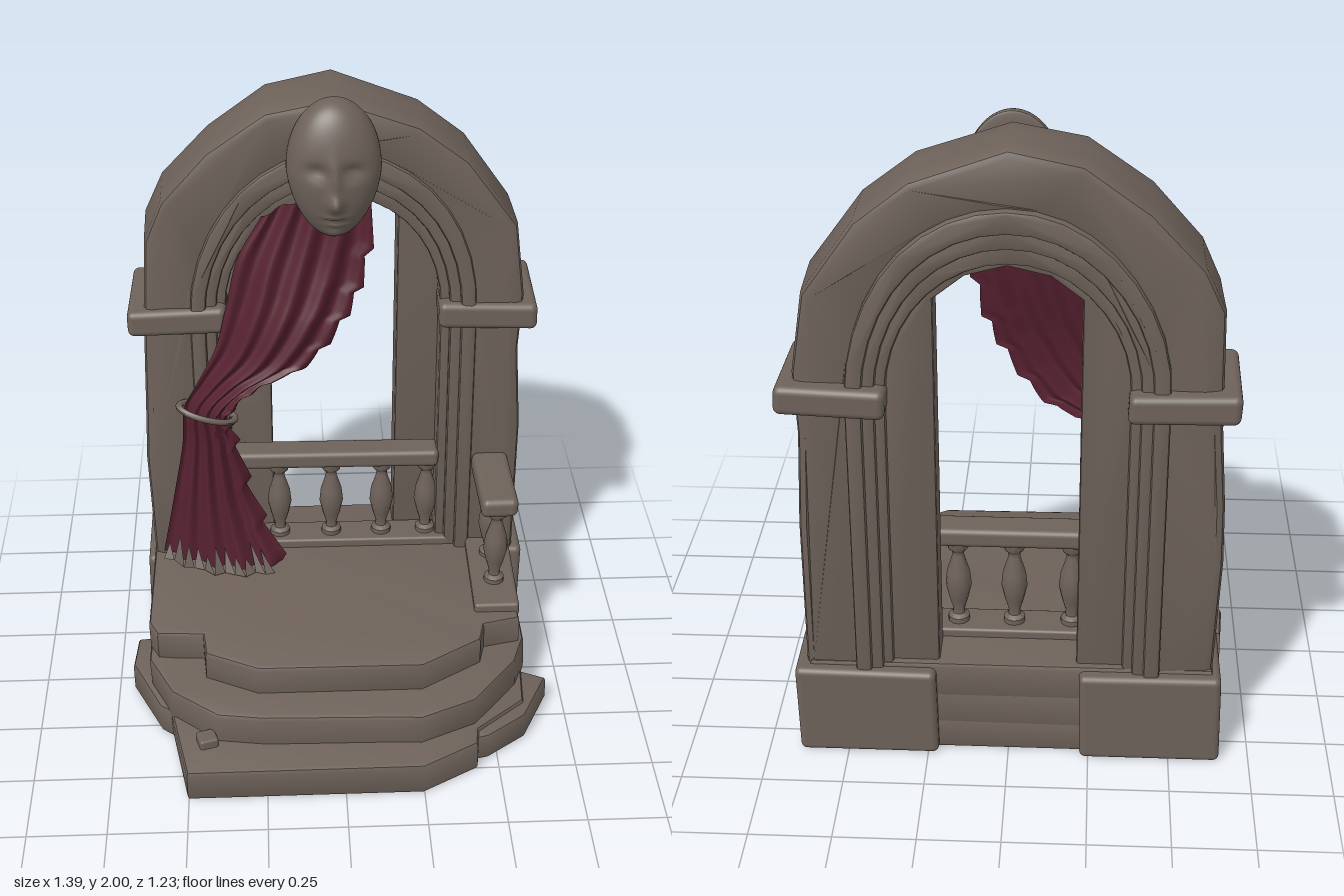
import * as THREE from 'three';
import { toCreasedNormals } from 'three/addons/utils/BufferGeometryUtils.js';
import { RoundedBoxGeometry } from 'three/addons/geometries/RoundedBoxGeometry.js';

const stone = new THREE.MeshStandardMaterial({ color: 0x6e625a });
stone.name = 'weathered stone';
const cloth = new THREE.MeshStandardMaterial({ color: 0x55202f, side: THREE.DoubleSide });
cloth.name = 'wine cloth';
const frayed = new THREE.MeshStandardMaterial({ color: 0x6e645c, side: THREE.DoubleSide });
frayed.name = 'frayed cloth';

// Applies a rule to every vertex
function warp(geo, rule) {
  const p = geo.attributes.position, v = new THREE.Vector3();
  for (let i = 0; i < p.count; i++) {
    rule(v.fromBufferAttribute(p, i));
    p.setXYZ(i, v.x, v.y, v.z);
  }
  return geo;
}

// Gentle worn unevenness of carved stone
const wear = (amount) => (v) => {
  const { x, y, z } = v;
  v.x += amount * Math.sin(9 * y + 5 * z + 1);
  v.z += amount * Math.sin(11 * x + 6 * y);
  if (y > 0.02) v.y += amount * 0.6 * Math.sin(8 * x + 7 * z);
};

export function createModel() {
  const model = new THREE.Group();
  model.name = 'ruinedArch';

  const add = (name, geo, mat = stone, parent = model) => {
    const mesh = new THREE.Mesh(geo, mat);
    mesh.name = name;
    parent.add(mesh);
    return mesh;
  };

  const extrude = (points, depth, bevel, steps = 1) => {
    const shape = new THREE.Shape(points.map(([x, y]) => new THREE.Vector2(x, y)));
    return new THREE.ExtrudeGeometry(shape, {
      depth: depth - 2 * bevel, steps, bevelEnabled: true, bevelSegments: 2,
      bevelSize: bevel, bevelThickness: bevel, bevelOffset: -bevel,
    }).translate(0, 0, bevel);
  };

  const block = (name, x0, x1, y0, y1, z0, z1, r = 0.015, amount = 0.004) => {
    const geo = new RoundedBoxGeometry(x1 - x0, y1 - y0, z1 - z0, 3, r);
    geo.translate((x0 + x1) / 2, (y0 + y1) / 2, (z0 + z1) / 2);
    return add(name, warp(geo, wear(amount)));
  };

  // Platform tiers, outlined as [x, z]
  const tier = (name, outline, y0, y1, amount = 0.005) => {
    const geo = extrude(outline.map(([x, z]) => [x, -z]), y1 - y0, 0.016);
    geo.rotateX(-Math.PI / 2).translate(0, y0, 0);
    add(name, toCreasedNormals(warp(geo, wear(amount)), 0.7));
  };
  tier('lowerStep', [[-0.62, -0.57], [-0.62, -0.08], [-0.69, -0.07], [-0.7, 0.07], [-0.6, 0.28],
    [-0.56, 0.31], [-0.5, 0.61], [0.25, 0.61], [0.43, 0.51], [0.44, 0.44], [0.6, 0.3],
    [0.62, 0], [0.62, -0.57]], 0, 0.115, 0.003);
  tier('fallenSlab', [[0.3, 0.3], [0.43, 0.47], [0.47, 0.46], [0.6, 0.36], [0.69, 0.17], [0.61, 0.13]], 0, 0.1, 0.003);
  tier('middleStep', [[-0.63, -0.57], [-0.63, 0.17], [-0.55, 0.33], [-0.4, 0.46], [-0.25, 0.49], [0.17, 0.49],
    [0.25, 0.5], [0.43, 0.42], [0.58, 0.22], [0.62, 0.1], [0.62, -0.57]], 0.08, 0.22);
  tier('floor', [[-0.63, -0.57], [-0.63, 0.1], [-0.6, 0.16], [-0.45, 0.17], [-0.44, 0.27], [-0.27, 0.36],
    [0.26, 0.36], [0.46, 0.23], [0.48, 0.15], [0.6, 0.12], [0.61, -0.57]], 0.19, 0.32, 0.003);
  const chip = block('looseStone', -0.03, 0.03, -0.02, 0.02, -0.03, 0.03, 0.008, 0);
  chip.position.set(-0.44, 0.125, 0.47);
  chip.rotation.y = 0.3;

  // Arch outlines: half ellipse springing from the capitals
  const springY = 1.25, footY = 0.29;
  const curve = (half, top, n) => Array.from({ length: n + 1 }, (_, i) => {
    const a = Math.PI * (1 - i / n);
    return [half * Math.cos(a), springY + (top - springY) * Math.sin(a)];
  });
  const archBand = (name, outer, inner, z0, z1, bevel, amount) => {
    const geo = extrude([...outer, ...inner.slice().reverse()], z1 - z0, bevel, 3).translate(0, 0, z0);
    add(name, toCreasedNormals(warp(geo, wear(amount)), 0.65));
  };
  const legs = (half, pts) => [[-half, footY], ...pts, [half, footY]];
  archBand('mainArch',
    [[-0.63, footY], [-0.635, 0.7], [-0.635, 0.9], [-0.62, 1.15], [-0.605, 1.52], [-0.55, 1.65], [-0.4, 1.81],
      [-0.21, 1.94], [0, 1.985], [0.27, 1.89], [0.42, 1.77], [0.58, 1.55], [0.62, 1.3], [0.605, 1.1],
      [0.625, 0.8], [0.62, footY]],
    legs(0.445, curve(0.445, 1.8, 16)), -0.565, -0.295, 0.025, 0.005);
  [[0.465, 1.82, 0.415, 1.75, -0.59, -0.28], [0.43, 1.77, 0.38, 1.7, -0.575, -0.3],
    [0.395, 1.73, 0.35, 1.65, -0.56, -0.325]].forEach(([o, ot, i, it, z0, z1], k) =>
    archBand('archMoulding' + (k + 1), legs(o, curve(o, ot, 18)), legs(i, curve(i, it, 18)), z0, z1, 0.012, 0.003));
  archBand('innerJamb', legs(0.37, curve(0.37, 1.69, 16)),
    [[-0.21, footY], [-0.21, 1.54], [-0.12, 1.61], [0, 1.64], [0.12, 1.61], [0.21, 1.54], [0.21, footY]],
    -0.545, -0.42, 0.01, 0.002);

  // Plinths and capitals on both piers
  for (const s of [-1, 1]) {
    const side = s < 0 ? 'right' : 'left';
    const pair = (a, b) => (s < 0 ? [-b, -a] : [a, b]);
    block(side + 'Plinth', ...pair(0.22, 0.655), 0, 0.305, -0.605, -0.285, 0.02, 0.003);
    block(side + 'Capital', ...pair(0.345, 0.665), 1.19, 1.28, -0.615, -0.27, 0.022, 0.006);
  }

  // Balustrade
  const profile = [[0, 0.34], [0.034, 0.34], [0.034, 0.365], [0.019, 0.375], [0.018, 0.39], [0.03, 0.43],
    [0.041, 0.48], [0.036, 0.53], [0.019, 0.585], [0.018, 0.6], [0.032, 0.615], [0.034, 0.645], [0, 0.645]];
  const balusterGeo = toCreasedNormals(
    new THREE.LatheGeometry(profile.map(([x, y]) => new THREE.Vector2(x, y)), 12), 0.8);
  [[-0.36, -0.36], [-0.19, -0.36], [-0.01, -0.36], [0.165, -0.36], [0.32, -0.36], [0.53, -0.05], [0.53, -0.2]]
    .forEach(([x, z]) => add('baluster', balusterGeo).position.set(x, 0, z));
  block('backRail', -0.4, 0.36, 0.638, 0.7, -0.41, -0.31, 0.018);
  block('backRailFoot', -0.4, 0.4, 0.3, 0.347, -0.42, -0.3, 0.01);
  block('sideRail', 0.468, 0.59, 0.638, 0.705, -0.3, 0.01, 0.022);
  block('sideRailFoot', 0.455, 0.605, 0.3, 0.35, -0.3, 0.09, 0.012);

  // Keystone mask, a half ellipsoid with modelled features
  const bump = (x, y, cx, cy, sx, sy) => Math.exp(-(((x - cx) / sx) ** 2) - ((y - cy) / sy) ** 2);
  const mask = warp(new THREE.SphereGeometry(1, 72, 56), (v) => {
    const jaw = Math.max(0, -v.y);
    const x = v.x * 0.148 * (1 - 0.14 * jaw), y = v.y * 0.225;
    let z = v.z > 0 ? 0.125 * Math.pow(v.z, 0.75) : 0.012 * v.z;
    if (v.z > 0.05) {
      const ax = Math.abs(x);
      z += 0.016 * bump(x, y, 0, 0, 0.016, 0.06) + 0.036 * bump(x, y, 0, -0.078, 0.021, 0.03);
      z -= 0.022 * bump(ax, y, 0.055, 0.022, 0.032, 0.022);
      z += 0.009 * bump(ax, y, 0.055, 0.016, 0.022, 0.01);
      z += 0.012 * bump(x, y, 0, -0.13, 0.034, 0.009) + 0.011 * bump(x, y, 0, -0.152, 0.028, 0.009);
      z -= 0.01 * bump(x, y, 0, -0.141, 0.04, 0.004);
      z += 0.014 * bump(x, y, 0, -0.192, 0.03, 0.02);
    }
    v.set(x - 0.003, y + 1.775, z - 0.282);
  });
  mask.computeVertexNormals();
  add('keystoneMask', mask);

  // Curtain swept between a left and a right edge
  const edge = (pts) => new THREE.CatmullRomCurve3(pts.map((p) => new THREE.Vector3(...p)));
  const leftEdge = edge([[-0.23, 1.6, -0.3], [-0.31, 1.46, -0.29], [-0.35, 1.3, -0.28], [-0.39, 1.15, -0.27],
    [-0.455, 1.02, -0.27], [-0.5, 0.93, -0.27], [-0.51, 0.8, -0.27], [-0.55, 0.58, -0.26], [-0.595, 0.35, -0.26]]);
  const rightEdge = edge([[0.13, 1.65, -0.3], [0.09, 1.4, -0.28], [0.02, 1.24, -0.26], [-0.1, 1.08, -0.26],
    [-0.25, 1.0, -0.26], [-0.35, 0.89, -0.26], [-0.33, 0.8, -0.26], [-0.27, 0.56, -0.25], [-0.17, 0.33, -0.2]]);
  const drape = (u, v) => {
    const p = leftEdge.getPoint(v).lerp(rightEdge.getPoint(v), u);
    const arc = Math.sin(Math.PI * u);
    p.z += arc * (0.02 + 0.035 * Math.sin(Math.PI * Math.min(1, v * 1.6)) ** 2 + 0.04 * v * v);
    p.z += 0.014 * Math.sin(u * 27 + v * 3);
    p.y += 0.05 * arc * Math.max(0, 1 - v * 5);
    p.x += Math.pow(u, 8) * 0.03 * ((v * 13) % 1 - 0.5);
    return p;
  };
  const sheet = warp(new THREE.PlaneGeometry(1, 1, 56, 78), (v) => v.copy(drape(v.x + 0.5, 0.5 - v.y)));
  sheet.computeVertexNormals();
  add('curtain', sheet, cloth);

  // Torn hem and tie
  const tatters = [];
  for (let i = 0; i < 11; i++) {
    const u = i / 12, length = 0.03 + 0.025 * ((i * 7) % 4) / 3;
    for (const [du, v] of [[0, 1], [0.085, 1], [0.03, 1 - length]]) {
      const p = drape(u + du, v);
      tatters.push(p.x, p.y - 0.012, p.z + (v === 1 ? 0.03 : 0.012));
    }
  }
  const hem = new THREE.BufferGeometry();
  hem.setAttribute('position', new THREE.Float32BufferAttribute(tatters, 3));
  hem.computeVertexNormals();
  add('tornHem', hem, frayed);

  const tie = new THREE.TorusGeometry(0.095, 0.012, 8, 28).rotateX(Math.PI / 2).scale(1, 1, 0.55).rotateZ(-0.28);
  tie.computeVertexNormals();
  add('curtainTie', tie).position.set(-0.425, 0.915, -0.25);

  return model;
}
